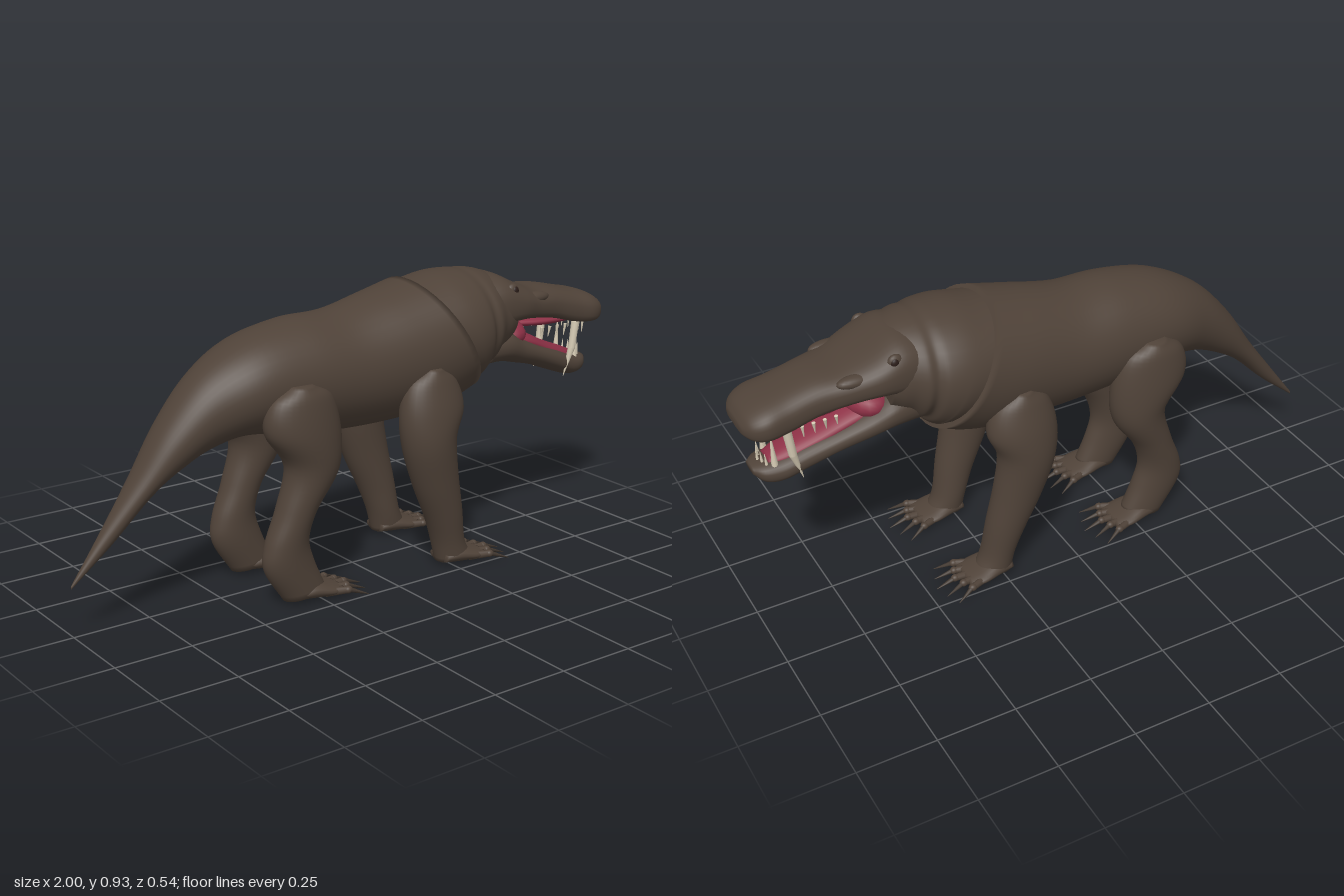
import * as THREE from 'three';

const mat = (name, color) => Object.assign(new THREE.MeshStandardMaterial({ color }), { name });

// Smooth skin through sections [topX, topY, bottomX, bottomY, halfWidth, centreZ].
// Leg sections run downward and give the front point first, then the back point.
function loft(sections, { steps = 6, sides = 32, power = 1, arch = 0 } = {}) {
  const a = new THREE.CatmullRomCurve3(sections.map(s => new THREE.Vector3(s[0], s[1], s[4])), false, 'catmullrom');
  const b = new THREE.CatmullRomCurve3(sections.map(s => new THREE.Vector3(s[2], s[3], s[5] || 0)), false, 'catmullrom');
  const n = (sections.length - 1) * steps, pos = [], idx = [];
  const soft = v => Math.sign(v) * Math.abs(v) ** power;
  for (let i = -1; i <= n + 1; i++) {
    const t = Math.min(Math.max(i / n, 0), 1), k = i < 0 || i > n ? 0 : 1;
    const p = a.getPoint(t), q = b.getPoint(t);
    for (let j = 0; j < sides; j++) {
      const th = (j / sides) * Math.PI * 2, s = soft(Math.sin(th));
      let c = soft(Math.cos(th));
      if (c < 0) c += arch * (1 - s * s) * -c;
      pos.push((p.x + q.x) / 2 + k * c * (p.x - q.x) / 2, (p.y + q.y) / 2 + k * c * (p.y - q.y) / 2,
        q.z + k * s * Math.max(p.z, 0.001));
    }
  }
  for (let i = 0; i < n + 2; i++) for (let j = 0; j < sides; j++) {
    const A = i * sides + j, B = i * sides + (j + 1) % sides;
    idx.push(A, B, A + sides, B, B + sides, A + sides);
  }
  const g = new THREE.BufferGeometry();
  g.setAttribute('position', new THREE.Float32BufferAttribute(pos, 3));
  g.setIndex(idx);
  g.computeVertexNormals();
  return g;
}

// Tapered rod between two points
function rod(p, q, r0, r1, sides = 10) {
  const a = new THREE.Vector3(...p), b = new THREE.Vector3(...q), d = b.clone().sub(a);
  const g = new THREE.CylinderGeometry(r1, r0, d.length(), sides);
  g.applyQuaternion(new THREE.Quaternion().setFromUnitVectors(new THREE.Vector3(0, 1, 0), d.normalize()));
  return g.translate(...a.add(b).multiplyScalar(0.5).toArray());
}

const ball = (x, y, z, rx, ry, rz) => new THREE.SphereGeometry(1, 20, 14).scale(rx, ry, rz).translate(x, y, z);

export function createModel() {
  const root = new THREE.Group();
  const hide = mat('brown hide', 0x4f4238), claw = mat('dark claw', 0x40362e);
  const ivory = mat('ivory tooth', 0xd6cbb4), flesh = mat('red mouth', 0x8c3045), dark = mat('dark eye', 0x2a1c18);
  const add = (name, geo, m = hide, parent = root) => {
    const mesh = new THREE.Mesh(geo, m);
    mesh.name = name;
    parent.add(mesh);
  };

  // Trunk and tail, ending in a slanted shoulder edge
  add('bodyAndTail', loft([
    [-1, 0.165, -1, 0.155, 0.003], [-0.9, 0.3, -0.865, 0.268, 0.027], [-0.79, 0.45, -0.74, 0.39, 0.058],
    [-0.69, 0.6, -0.64, 0.455, 0.087], [-0.57, 0.73, -0.54, 0.5, 0.118], [-0.42, 0.815, -0.42, 0.52, 0.162],
    [-0.25, 0.853, -0.2, 0.487, 0.182], [-0.09, 0.858, 0.05, 0.475, 0.19], [0.07, 0.892, 0.29, 0.49, 0.212],
    [0.2, 0.921, 0.42, 0.537, 0.222],
  ], { sides: 40 }));

  // Neck with soft throat folds
  add('neck', loft([
    [0.12, 0.895, 0.33, 0.54, 0.2], [0.23, 0.913, 0.42, 0.555, 0.213], [0.31, 0.928, 0.428, 0.56, 0.212],
    [0.38, 0.93, 0.44, 0.572, 0.202], [0.42, 0.926, 0.45, 0.592, 0.184], [0.45, 0.925, 0.475, 0.595, 0.184],
    [0.49, 0.917, 0.5, 0.618, 0.166], [0.53, 0.9, 0.53, 0.635, 0.155], [0.57, 0.87, 0.56, 0.66, 0.14],
  ], { sides: 40 }));

  // Skull and snout with an arched palate
  add('head', loft([
    [0.44, 0.9, 0.44, 0.68, 0.15], [0.52, 0.907, 0.52, 0.7, 0.158], [0.6, 0.872, 0.59, 0.72, 0.155],
    [0.68, 0.842, 0.67, 0.718, 0.134], [0.77, 0.832, 0.77, 0.698, 0.116], [0.86, 0.812, 0.86, 0.673, 0.115],
    [0.93, 0.796, 0.925, 0.668, 0.12], [0.975, 0.775, 0.965, 0.677, 0.103], [0.995, 0.752, 0.992, 0.7, 0.07],
    [1, 0.738, 1, 0.717, 0.03],
  ], { sides: 40, power: 0.8, arch: 0.6 }));

  // Lower jaw and chin
  add('lowerJaw', loft([
    [0.46, 0.74, 0.47, 0.6, 0.13], [0.55, 0.73, 0.545, 0.604, 0.14], [0.62, 0.69, 0.62, 0.588, 0.128],
    [0.71, 0.65, 0.71, 0.565, 0.108], [0.81, 0.613, 0.81, 0.528, 0.088], [0.88, 0.585, 0.885, 0.503, 0.076],
    [0.94, 0.572, 0.935, 0.508, 0.06], [0.97, 0.562, 0.965, 0.535, 0.03],
  ], { power: 0.85 }));

  // Mouth lining and tongue
  add('palate', ball(0.79, 0.716, 0, 0.17, 0.022, 0.083), flesh);
  add('throat', ball(0.6, 0.69, 0, 0.075, 0.055, 0.11), flesh);
  add('tongue', loft([
    [0.58, 0.715, 0.58, 0.64, 0.09], [0.68, 0.685, 0.68, 0.62, 0.085], [0.78, 0.638, 0.78, 0.58, 0.068],
    [0.87, 0.603, 0.87, 0.55, 0.052], [0.92, 0.582, 0.92, 0.555, 0.035],
  ]), flesh);

  for (const s of [1, -1]) {
    const side = s > 0 ? 'Left' : 'Right';
    // Sabre fangs, lower canines and cheek teeth
    add('fangRoot' + side, rod([0.872, 0.7, s * 0.082], [0.86, 0.61, s * 0.081], 0.014, 0.0125), ivory);
    add('fangTip' + side, rod([0.86, 0.612, s * 0.081], [0.832, 0.515, s * 0.075], 0.0125, 0.001), ivory);
    add('lowerCanine' + side, rod([0.905, 0.56, s * 0.046], [0.91, 0.668, s * 0.046], 0.011, 0.002), ivory);
    for (let i = 0; i < 4; i++) {
      const x = 0.72 + i * 0.035;
      add('cheekTooth' + side, rod([x, 0.7, s * 0.083], [x - 0.004, 0.668 - i * 0.003, s * 0.08], 0.006, 0.001, 8), ivory);
    }
    // Eyes with lids, and nostrils
    add('eyelid' + side, ball(0.545, 0.855, s * 0.127, 0.025, 0.025, 0.015), hide);
    add('eye' + side, ball(0.549, 0.855, s * 0.135, 0.014, 0.017, 0.01), dark);
    add('brow' + side, ball(0.66, 0.815, s * 0.105, 0.06, 0.02, 0.025), hide);
    add('nostril' + side, ball(0.973, 0.767, s * 0.042, 0.006, 0.004, 0.006), dark);
  }
  // Incisors
  for (let i = -2; i <= 2; i++) {
    const z = i * 0.018, x = 0.94 - Math.abs(i) * 0.007;
    add('upperIncisor', rod([x + 0.01, 0.71, z * 1.4], [x + 0.008, 0.65, z * 1.4], 0.007, 0.001, 8), ivory);
    add('lowerIncisor', rod([x, 0.56, z], [x + 0.004, 0.608, z], 0.006, 0.001, 8), ivory);
  }

  // Limbs: front point, back point, half width, distance from the midline
  const foreleg = [
    [0.2, 0.672, 0.14, 0.672, 0.045, 0.175], [0.262, 0.625, 0.08, 0.625, 0.062, 0.178],
    [0.285, 0.54, 0.055, 0.53, 0.076, 0.187], [0.252, 0.45, 0.066, 0.42, 0.077, 0.192],
    [0.265, 0.33, 0.11, 0.29, 0.068, 0.188], [0.29, 0.2, 0.165, 0.17, 0.061, 0.181],
    [0.308, 0.09, 0.195, 0.09, 0.056, 0.174], [0.33, 0.04, 0.213, 0.015, 0.054, 0.174],
  ];
  const hindleg = [
    [-0.27, 0.69, -0.345, 0.69, 0.045, 0.157], [-0.195, 0.645, -0.412, 0.64, 0.066, 0.157],
    [-0.165, 0.52, -0.425, 0.55, 0.079, 0.157], [-0.18, 0.41, -0.355, 0.44, 0.074, 0.157],
    [-0.255, 0.3, -0.385, 0.31, 0.062, 0.155], [-0.281, 0.21, -0.428, 0.2, 0.056, 0.152],
    [-0.26, 0.13, -0.432, 0.12, 0.054, 0.15], [-0.22, 0.04, -0.365, 0.012, 0.05, 0.15],
  ];
  for (const [label, leg, x0] of [['fore', foreleg, 0.27], ['hind', hindleg, -0.28]]) {
    for (const s of [1, -1]) {
      const limb = new THREE.Group(), zc = s * leg[7][5];
      limb.name = label + 'Leg' + (s > 0 ? 'Left' : 'Right');
      root.add(limb);
      add('leg', loft(leg.map(p => [...p.slice(0, 5), s * p[5]])), hide, limb);
      add('foot', loft([
        [-0.05, 0.05, -0.05, 0.012, 0.045], [0, 0.065, 0, 0.006, 0.058],
        [0.06, 0.047, 0.06, 0.005, 0.067], [0.105, 0.034, 0.105, 0.01, 0.058],
      ].map(p => [x0 + p[0], p[1], x0 + p[2], p[3], p[4], zc]), { sides: 20 }), hide, limb);
      // Five splayed toes with claws
      for (let k = -2; k <= 2; k++) {
        const ang = k * 0.2, z = zc + k * 0.024, x = x0 + 0.085 - Math.abs(k) * 0.012;
        const at = (d, y) => [x + d * Math.cos(ang), y, z + d * Math.sin(ang)];
        add('toe', rod(at(-0.02, 0.022), at(0.05, 0.025), 0.014, 0.011), hide, limb);
        add('knuckle', ball(...at(0.05, 0.025), 0.014, 0.012, 0.012), hide, limb);
        add('claw', rod(at(0.05, 0.026), at(0.115, 0.005), 0.009, 0.001, 8), claw, limb);
      }
    }
  }
  return root;
}
